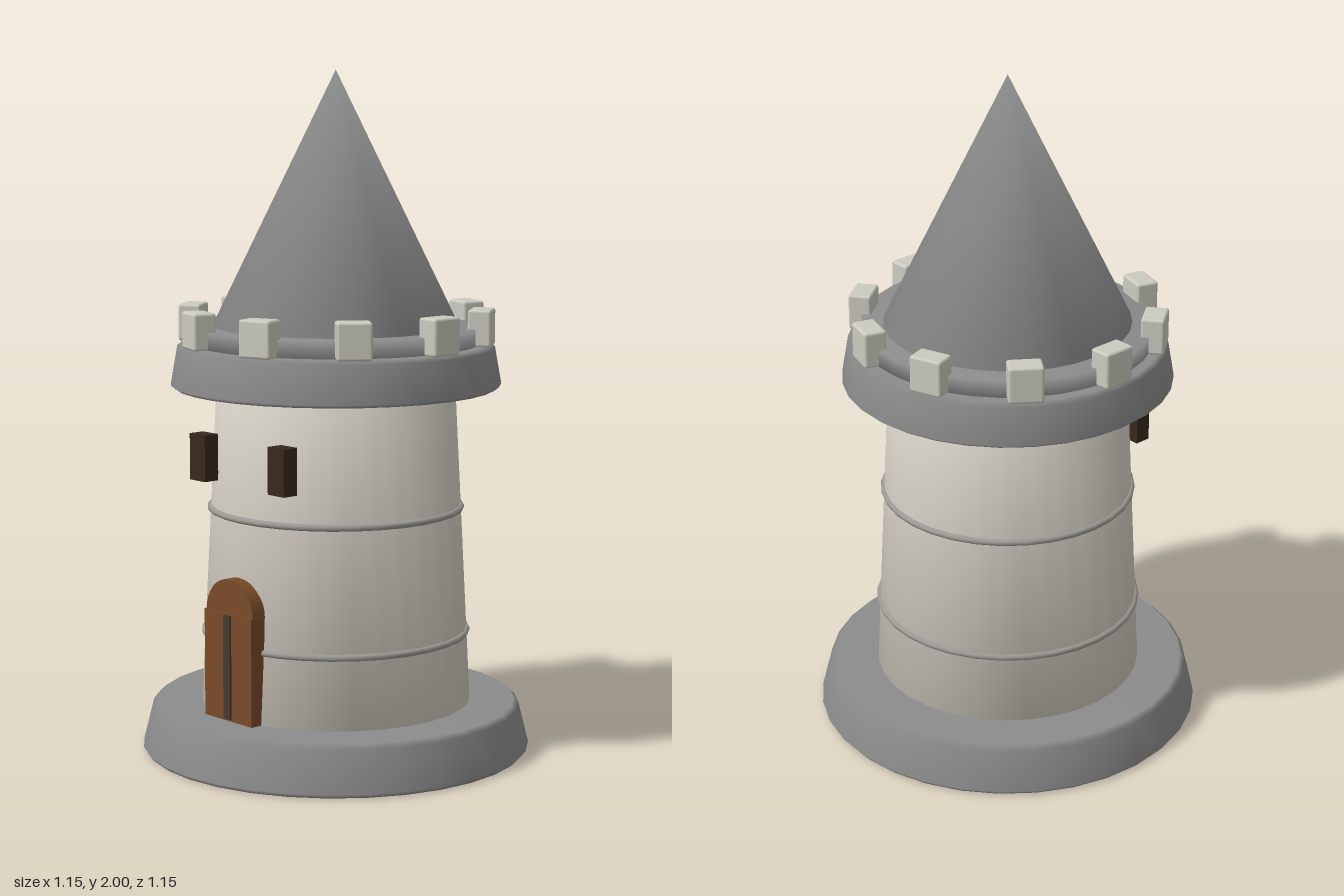
import * as THREE from 'three';
import { RoundedBoxGeometry } from 'three/addons/geometries/RoundedBoxGeometry.js';

const material = (name, color) => {
  const m = new THREE.MeshStandardMaterial({ color });
  m.name = name;
  return m;
};

export function createModel() {
  const model = new THREE.Group();
  model.name = 'tower';

  const greyStone = material('grey stone', 0x8c8c8c);
  const paleStone = material('pale stone', 0xd5d0c5);
  const merlonStone = material('merlon stone', 0xcccbc0);
  const bandStone = material('band stone', 0x9c9a94);
  const doorWood = material('door wood', 0x7a4a28);
  const darkWood = material('dark wood', 0x3a281e);
  const seamIron = material('seam iron', 0x453a33);

  const add = (name, geometry, mat, x = 0, y = 0, z = 0) => {
    const mesh = new THREE.Mesh(geometry, mat);
    mesh.name = name;
    mesh.position.set(x, y, z);
    model.add(mesh);
    return mesh;
  };

  // Closed round part, softly shaded over its rims; points run bottom to top
  const turned = (name, mat, points) => {
    const geo = new THREE.LatheGeometry(points.map(([r, y]) => new THREE.Vector2(r, y)), 32);
    const pos = geo.attributes.position;
    const midY = (points[0][1] + points[points.length - 1][1]) / 2;
    for (let i = 0; i < pos.count; i++) {
      if (Math.hypot(pos.getX(i), pos.getZ(i)) < 1e-6) {
        geo.attributes.normal.setXYZ(i, 0, pos.getY(i) > midY ? 1 : -1, 0);
      }
    }
    return add(name, geo, mat);
  };

  // Stonework from the ground up
  turned('base', greyStone,
    [[0, 0], [0.565, 0], [0.575, 0.012], [0.545, 0.132], [0.53, 0.145], [0, 0.145]]);
  turned('towerWall', paleStone, [[0, 0.13], [0.4, 0.13], [0.35, 1.1], [0, 1.1]]);
  turned('crown', greyStone,
    [[0, 1.08], [0.472, 1.08], [0.485, 1.09], [0.466, 1.198], [0.452, 1.21], [0, 1.21]]);
  turned('parapet', greyStone, [[0, 1.19], [0.425, 1.19], [0.425, 1.26], [0, 1.26]]);
  turned('roof', greyStone, [[0, 1.2], [0.39, 1.2], [0, 2]]);

  // Thin bands around the wall
  for (const y of [0.355, 0.725]) {
    const radius = 0.4 - (y - 0.13) * 0.0515;
    const band = new THREE.TorusGeometry(radius, 0.01, 8, 32).rotateX(Math.PI / 2);
    add('wallBand', band, bandStone, 0, y, 0);
  }

  // Ten merlons around the crown
  const merlonGeo = new RoundedBoxGeometry(0.068, 0.108, 0.1, 2, 0.008);
  for (let i = 0; i < 10; i++) {
    const a = (i * Math.PI) / 5;
    const merlon = add('merlon', merlonGeo, merlonStone,
      0.43 * Math.cos(a), 1.262, 0.43 * Math.sin(a));
    merlon.rotation.y = -a;
  }

  // Arched door with a centre seam
  add('door', new THREE.BoxGeometry(0.206, 0.32, 0.05), doorWood, 0, 0.3, 0.395);
  const arch = new THREE.CylinderGeometry(0.102, 0.102, 0.05, 32).rotateX(Math.PI / 2);
  add('doorArch', arch, doorWood, 0, 0.457, 0.388);
  add('doorSeam', new THREE.BoxGeometry(0.03, 0.305, 0.009), seamIron, 0, 0.303, 0.421);

  // Pair of windows
  for (const side of [-1, 1]) {
    add('window', new THREE.BoxGeometry(0.068, 0.136, 0.05), darkWood, side * 0.172, 0.888, 0.361);
  }

  return model;
}
